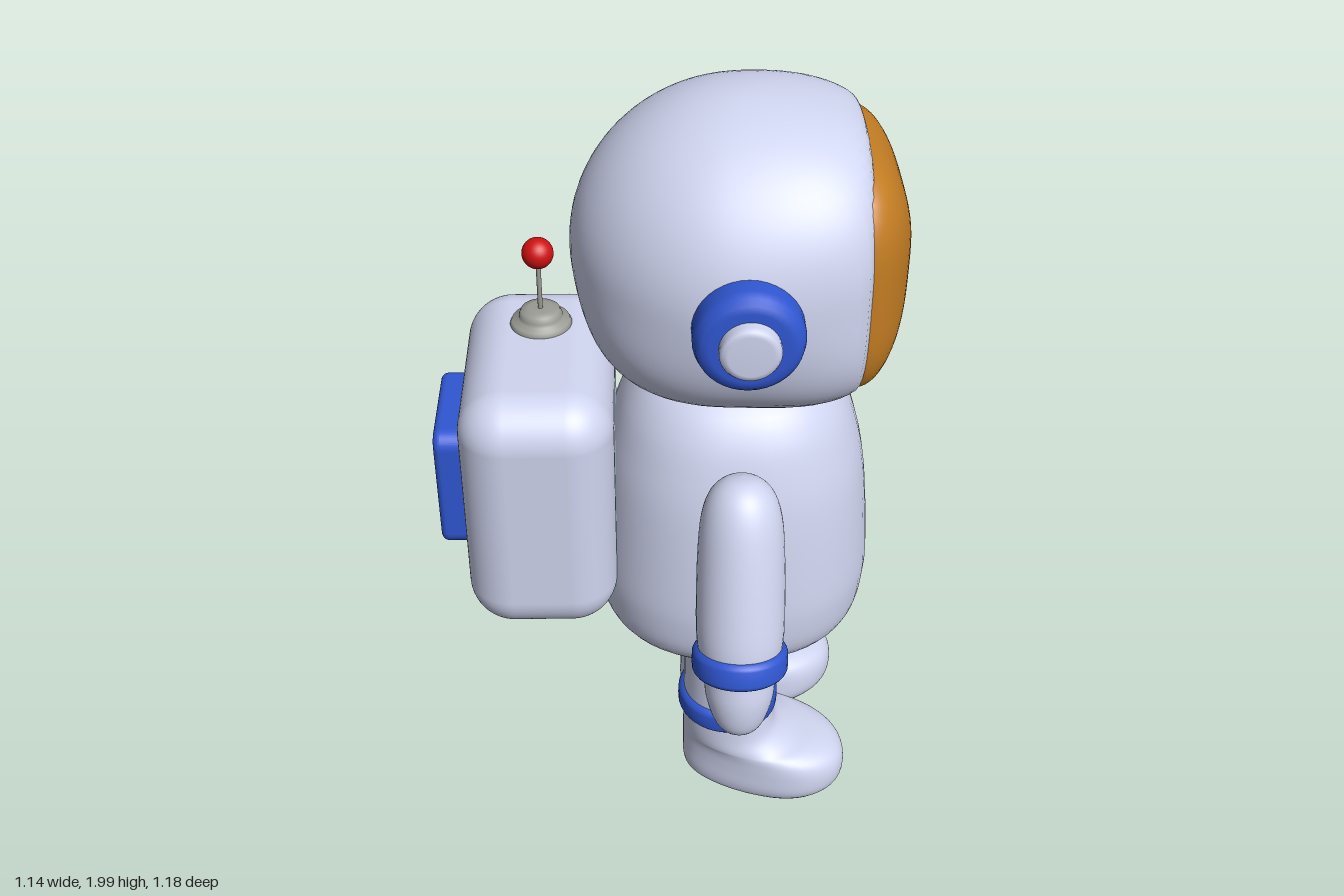
import * as THREE from 'three';
import { mergeVertices } from 'three/addons/utils/BufferGeometryUtils.js';
import { RoundedBoxGeometry } from 'three/addons/geometries/RoundedBoxGeometry.js';

const paint = (color) => new THREE.MeshStandardMaterial({ color });
const spow = (v, p) => Math.sign(v) * Math.pow(Math.abs(v), p);

function add(parent, name, geometry, material, x = 0, y = 0, z = 0) {
  const mesh = new THREE.Mesh(geometry, material);
  mesh.name = name;
  mesh.position.set(x, y, z);
  parent.add(mesh);
  return mesh;
}

// Moves every vertex by a rule, then rebuilds seamless smooth normals
function reshape(geometry, rule) {
  geometry.deleteAttribute('uv');
  geometry.deleteAttribute('normal');
  const p = geometry.attributes.position;
  const v = new THREE.Vector3();
  for (let i = 0; i < p.count; i++) {
    rule(v.fromBufferAttribute(p, i));
    p.setXYZ(i, v.x, v.y, v.z);
  }
  const merged = mergeVertices(geometry, 1e-5);
  merged.computeVertexNormals();
  return merged;
}

// Skin over horizontal rounded sections: [y, backX, frontX, backHalfWidth, frontHalfWidth]
function loft(sections, power, shear = 0, rows = 48, cols = 56) {
  const spline = (f) => new THREE.CatmullRomCurve3(sections.map(f), false, 'catmullrom', 0.5);
  const a = spline((s) => new THREE.Vector3(s[0], s[1], s[2]));
  const b = spline((s) => new THREE.Vector3(s[3], s[4], 0));
  const pos = [], index = [];
  for (let j = 0; j <= rows; j++) {
    const { x: y, y: back, z: front } = a.getPoint(j / rows);
    const w = b.getPoint(j / rows);
    for (let i = 0; i < cols; i++) {
      const t = (i / cols) * Math.PI * 2;
      const c = spow(Math.cos(t), 2 / power), s = spow(Math.sin(t), 2 / power);
      const x = (back + front) / 2 + c * (front - back) / 2;
      const half = THREE.MathUtils.lerp(w.x, w.y, THREE.MathUtils.smoothstep(c, -1, 0.6));
      pos.push(x, y, s * half + shear * (x - 0.17));
      if (j < rows) {
        const k = j * cols + i, n = j * cols + (i + 1) % cols;
        index.push(k, k + cols, n, n, k + cols, n + cols);
      }
    }
  }
  const g = new THREE.BufferGeometry();
  g.setAttribute('position', new THREE.Float32BufferAttribute(pos, 3));
  g.setIndex(index);
  g.computeVertexNormals();
  return g;
}

// Turned part from a smooth curve through [radius, height] points, bottom to top
function turned(points, smooth = true) {
  let pts = points.map(([r, y]) => new THREE.Vector2(r, y));
  if (smooth) pts = new THREE.SplineCurve(pts).getPoints(40).map((p) => p.setX(Math.max(p.x, 0)));
  return new THREE.LatheGeometry(pts, 40);
}

// Soft-edged band around a limb
function band(r, h) {
  const e = 0.025, inner = r - 0.045, pts = [[inner, -h / 2]];
  for (let i = 0; i <= 12; i++) {
    const a = (i / 12 - 0.5) * Math.PI;
    pts.push([r - e + e * Math.cos(a), (h / 2 - e) * Math.sign(i - 6) + e * Math.sin(a)]);
  }
  pts.push([inner, h / 2]);
  return turned(pts, false);
}

export function createModel() {
  const root = new THREE.Group();
  const suit = new THREE.Group();
  suit.name = 'spacesuit';
  suit.position.z = -0.008;
  root.add(suit);

  const white = paint(0xd0d5f0), blue = paint(0x3057d2), amber = paint(0xc27c22);
  const grey = paint(0x9c9c96), red = paint(0xd01212);

  // Helmet: round behind, squarer and flattened towards the visor and neck
  add(suit, 'helmet', reshape(new THREE.SphereGeometry(1, 72, 48), (v) => {
    const p = 2 + 0.4 * THREE.MathUtils.smoothstep(v.x, -0.1, 0.7) + 0.5 * THREE.MathUtils.smoothstep(-v.y, 0, 0.7);
    const n = Math.pow(Math.abs(v.x) ** p + Math.abs(v.y) ** p + Math.abs(v.z) ** p, 1 / p);
    v.divideScalar(n);
    v.set(v.x * 0.4, v.y * (v.y > 0 ? 0.38 : 0.36), v.z * 0.391);
    if (v.x > 0.23) v.x = 0.23 + 0.05 * Math.tanh((v.x - 0.23) / 0.05);
  }), white, 0.178, 1.62, 0);

  // Visor: domed rounded square
  add(suit, 'visor', reshape(new THREE.SphereGeometry(1, 64, 48).rotateZ(-Math.PI / 2), (v) => {
    const r = Math.hypot(v.y, v.z);
    if (r > 1e-6) {
      const c = v.y / r, s = v.z / r;
      const k = Math.pow(Math.abs(c) ** 3.6 + Math.abs(s) ** 3.6, -1 / 3.6);
      v.y = r * k * c * 0.29;
      v.z = r * k * s * 0.296;
    }
    v.x *= v.x > 0 ? 0.135 : 0.05;
  }), amber, 0.434, 1.6, 0);

  // Torso
  const torso = [[0.002, 0.485], [0.15, 0.486], [0.265, 0.51], [0.335, 0.575], [0.355, 0.68], [0.352, 0.8],
    [0.332, 1.0], [0.305, 1.12], [0.27, 1.21], [0.215, 1.275], [0.12, 1.32], [0.002, 1.33]];
  add(suit, 'torso', loft(torso.map(([r, y]) => [y, 0.175 - r, 0.175 + r, r * 0.985, r * 0.985]), 2.3), white);

  // Boot sections, sole to ankle
  const boot = [[0.01, 0.168, 0.172, 0.002, 0.002], [0.01, 0.08, 0.44, 0.09, 0.12], [0.018, 0.058, 0.475, 0.112, 0.142],
    [0.05, 0.05, 0.494, 0.12, 0.156], [0.1, 0.05, 0.494, 0.12, 0.156], [0.135, 0.05, 0.472, 0.12, 0.152],
    [0.158, 0.05, 0.42, 0.12, 0.146], [0.175, 0.05, 0.355, 0.12, 0.138], [0.21, 0.05, 0.307, 0.12, 0.126],
    [0.27, 0.05, 0.29, 0.12, 0.12]];

  // Arm profile with a mitten tip; the cuff sits at height 0
  const arm = [[0, -0.205], [0.035, -0.197], [0.062, -0.165], [0.083, -0.1], [0.09, -0.03], [0.104, 0.04],
    [0.108, 0.12], [0.105, 0.28], [0.096, 0.38], [0.075, 0.44], [0.04, 0.472], [0, 0.48]];

  for (const side of [1, -1]) {
    const label = side > 0 ? 'left' : 'right';

    const leg = new THREE.Group();
    leg.name = label + 'Leg';
    leg.position.z = side * 0.163;
    suit.add(leg);
    add(leg, 'shin', new THREE.CylinderGeometry(0.119, 0.119, 0.34, 40), white, 0.17, 0.42, 0);
    add(leg, 'ankleBand', band(0.135, 0.076), blue, 0.17, 0.288, 0);
    add(leg, 'boot', loft(boot, 2.2, side * 0.12), white);

    const limb = new THREE.Group();
    limb.name = label + 'Arm';
    limb.position.set(0.176, side > 0 ? 0.716 : 0.754, side * 0.471);
    limb.rotation.x = -side * (side > 0 ? 0.285 : 0.305);
    suit.add(limb);
    add(limb, 'sleeveAndMitten', turned(arm), white);
    add(limb, 'cuff', band(0.118, 0.078), blue);

    // Ear piece
    const ear = new THREE.Group();
    ear.name = label + 'EarPiece';
    ear.position.set(0.175, 1.61, side * 0.37);
    ear.rotation.x = side * Math.PI / 2;
    suit.add(ear);
    add(ear, 'earPad', turned([[0.124, 0], [0.124, 0.045], [0.118, 0.066], [0.105, 0.078], [0.088, 0.082], [0.04, 0.082], [0, 0.082]], false), blue);
    add(ear, 'earCap', turned([[0.068, 0.05], [0.068, 0.1], [0.062, 0.11], [0.05, 0.113], [0, 0.113]], false), white);
  }

  // Backpack
  add(suit, 'backpack', new RoundedBoxGeometry(0.375, 0.69, 0.62, 8, 0.115), white, -0.311, 0.982, 0);

  // Framed panel on the back of the pack
  const rect = (path, w, h, r) => {
    const corners = [[1, -1, -90], [1, 1, 0], [-1, 1, 90], [-1, -1, 180]];
    for (const [sx, sy, deg] of corners) {
      const a = THREE.MathUtils.degToRad(deg);
      path.absarc(sx * (w / 2 - r), sy * (h / 2 - r), r, a, a + Math.PI / 2, false);
    }
    path.closePath();
    return path;
  };
  const frame = rect(new THREE.Shape(), 0.275, 0.31, 0.025);
  frame.holes.push(rect(new THREE.Path(), 0.19, 0.225, 0.008));
  const panel = new THREE.ExtrudeGeometry(frame, {
    depth: 0.07, bevelEnabled: true, bevelSize: 0.018, bevelThickness: 0.018, bevelSegments: 5, curveSegments: 8,
  });
  add(suit, 'panelFrame', panel, blue, -0.482, 0.982, -0.003).rotation.y = -Math.PI / 2;

  // Antenna
  const antenna = new THREE.Group();
  antenna.name = 'antenna';
  antenna.position.set(-0.305, 0, -0.098);
  suit.add(antenna);
  add(antenna, 'antennaBase', turned([[0.076, 1.3], [0.077, 1.327], [0.072, 1.338], [0.055, 1.342], [0.054, 1.352],
    [0.048, 1.366], [0.03, 1.37], [0, 1.37]], false), grey);
  add(antenna, 'antennaRod', new THREE.CylinderGeometry(0.006, 0.006, 0.16, 12), grey, 0, 1.44, 0);
  add(antenna, 'antennaBall', new THREE.SphereGeometry(0.039, 28, 20), red, 0, 1.525, 0);

  return root;
}
